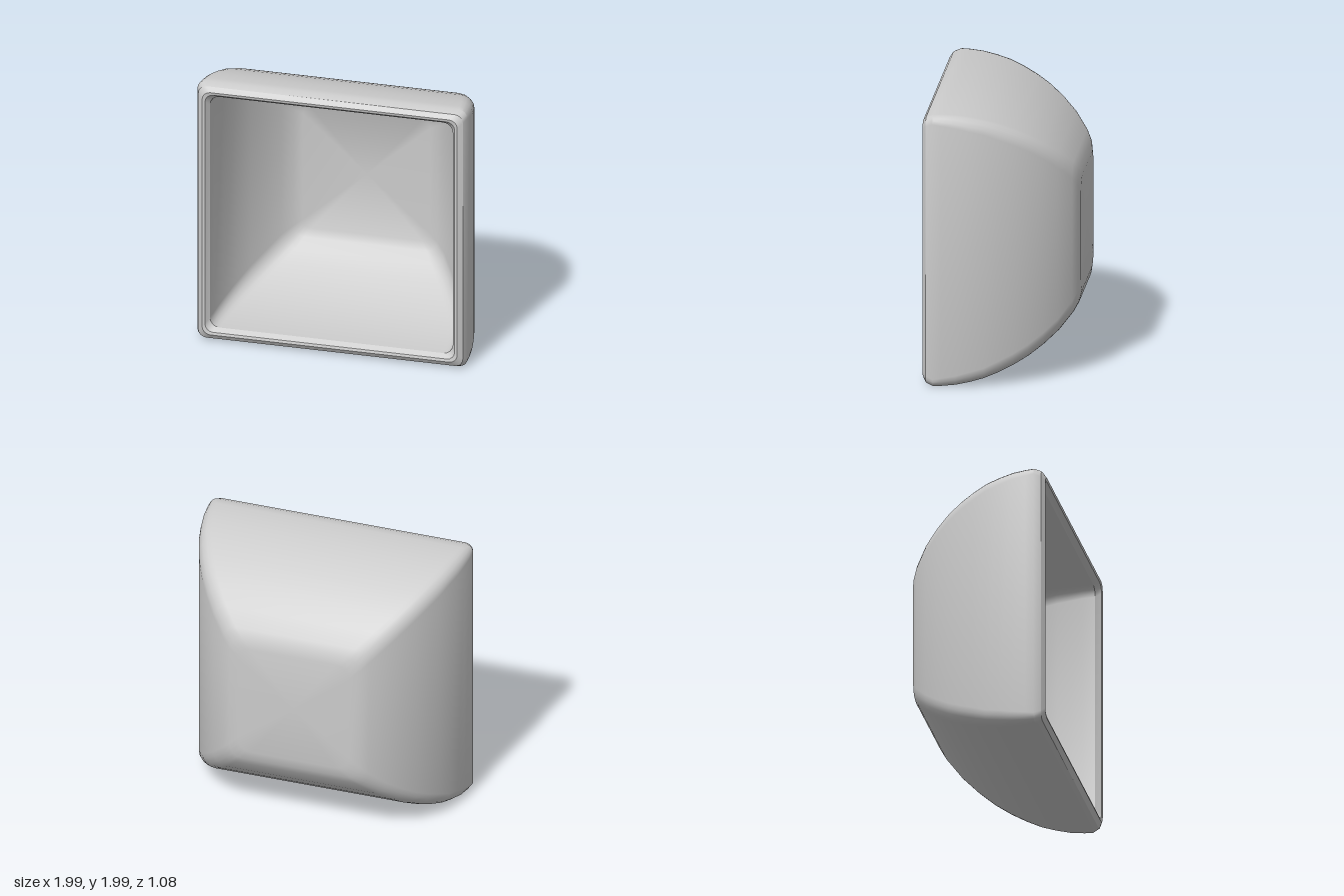
import * as THREE from 'three';
import { toCreasedNormals } from 'three/addons/utils/BufferGeometryUtils.js';

const CORNER_STEPS = 4;

// Cross-section: a square of half-width r with rounded corners, at depth z
function roundedSquare(r, corner, z) {
  const points = [];
  for (let q = 0; q < 4; q++) {
    for (let s = 0; s <= CORNER_STEPS; s++) {
      const a = (q + s / CORNER_STEPS) * Math.PI / 2;
      const mid = (q + 0.5) * Math.PI / 2;
      const cx = Math.sign(Math.cos(mid)) * (r - corner);
      const cy = Math.sign(Math.sin(mid)) * (r - corner);
      points.push([cx + corner * Math.cos(a), 1 + cy + corner * Math.sin(a), z]);
    }
  }
  return points;
}

// Skin the rings; a ring of half-width 0 closes the surface
function loft(profile) {
  const n = 4 * (CORNER_STEPS + 1);
  const positions = profile.flatMap(([r, corner, z]) => roundedSquare(r, corner, z)).flat();
  const index = [];
  for (let k = 0; k < profile.length - 1; k++) {
    for (let j = 0; j < n; j++) {
      const a = k * n + j, b = k * n + (j + 1) % n;
      const c = b + n, d = a + n;
      if (profile[k][0] > 0) index.push(a, b, d);
      if (profile[k + 1][0] > 0) index.push(b, c, d);
    }
  }
  const geometry = new THREE.BufferGeometry();
  geometry.setAttribute('position', new THREE.Float32BufferAttribute(positions, 3));
  geometry.setIndex(index);
  return toCreasedNormals(geometry, 0.5);
}

export function createModel() {
  const group = new THREE.Group();
  group.name = 'squareBowl';

  // [half-width, corner radius, z] from the back, over the rim, to the inner floor
  const profile = [
    // outer shell
    [0, 0, -0.54], [0.42, 0.1, -0.54], [0.49, 0.1, -0.525], [0.55, 0.1, -0.49],
    [0.655, 0.1, -0.4], [0.74, 0.1, -0.3], [0.81, 0.1, -0.2], [0.865, 0.1, -0.1],
    [0.91, 0.1, 0], [0.945, 0.09, 0.1], [0.97, 0.09, 0.2], [0.987, 0.08, 0.3],
    [0.994, 0.07, 0.4], [0.994, 0.06, 0.46],
    // rim
    [0.975, 0.06, 0.51], [0.94, 0.06, 0.535], [0.92, 0.06, 0.53], [0.895, 0.07, 0.49],
    // hollow inside
    [0.89, 0.07, 0.4], [0.87, 0.08, 0.22], [0.825, 0.09, 0.05], [0.76, 0.1, -0.1],
    [0.68, 0.1, -0.23], [0.6, 0.1, -0.34], [0.53, 0.08, -0.405], [0.47, 0.06, -0.435],
    [0, 0, -0.44],
  ];
  const bowl = new THREE.Mesh(loft(profile), new THREE.MeshStandardMaterial({ color: 0xcccccc }));
  bowl.name = 'bowlShell';
  group.add(bowl);
  return group;
}
